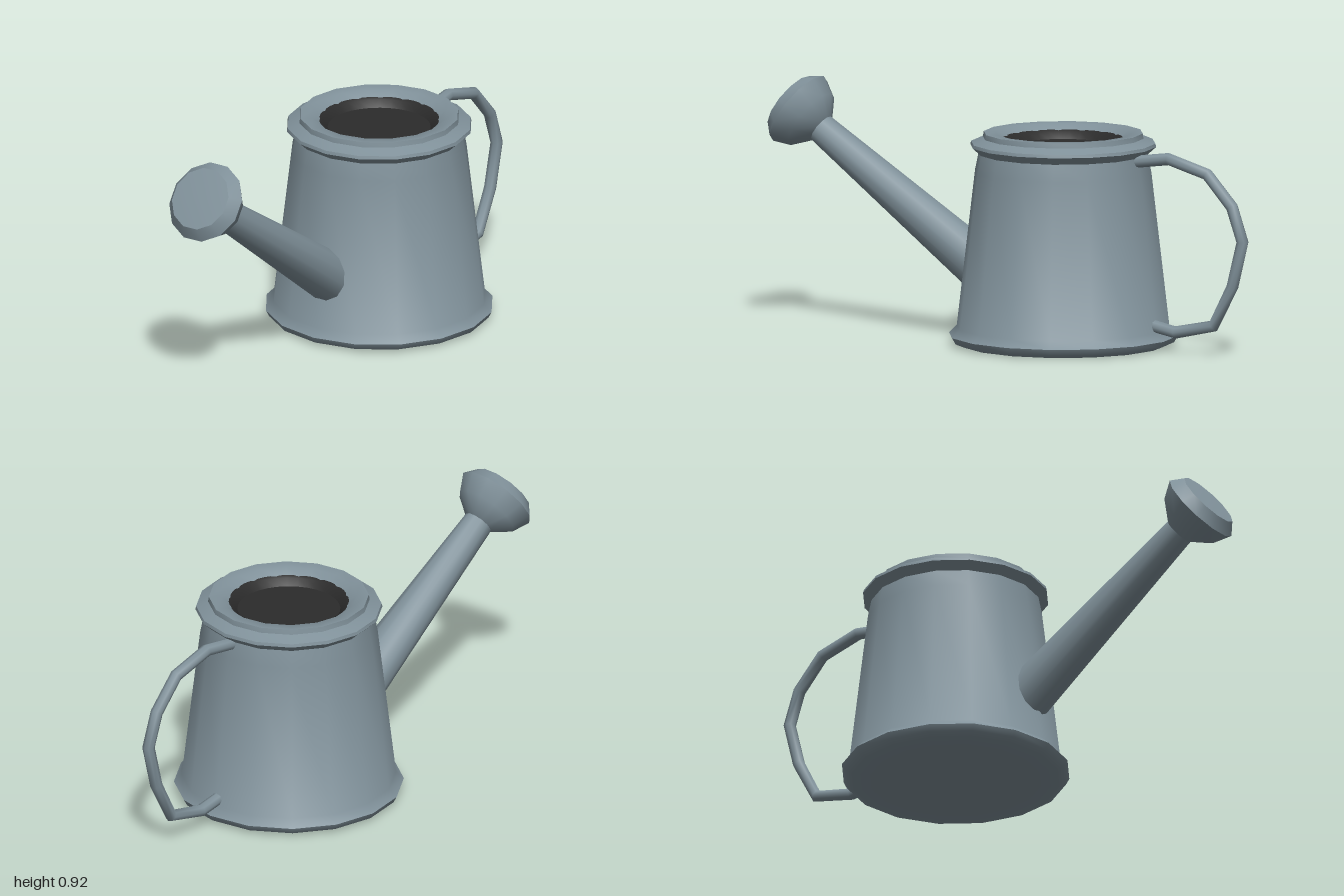
import * as THREE from 'three';
import { toCreasedNormals } from 'three/addons/utils/BufferGeometryUtils.js';

const steel = new THREE.MeshStandardMaterial({ color: 0x80919a });
steel.name = 'greySteel';
const dark = new THREE.MeshStandardMaterial({ color: 0x2b2b2b });
dark.name = 'darkInterior';

// Lathe from [radius, height] pairs, smooth around and sharp at hard rims
function turned(name, profile, sides, material, phiStart = 0) {
  const points = profile.map(([r, y]) => new THREE.Vector2(r, y));
  const geometry = new THREE.LatheGeometry(points, sides, phiStart);
  const mesh = new THREE.Mesh(toCreasedNormals(geometry, 0.85), material);
  mesh.name = name;
  return mesh;
}

// Straight-segment path whose samples land exactly on its corners
class BentPath extends THREE.Curve {
  constructor(points) {
    super();
    this.points = points;
  }
  getPoint(t, target = new THREE.Vector3()) {
    const last = this.points.length - 1;
    const i = Math.min(Math.floor(t * last + 1e-9), last - 1);
    return target.lerpVectors(this.points[i], this.points[i + 1], t * last - i);
  }
  getPointAt(u, target) { return this.getPoint(u, target); }
  getTangentAt(u, target) { return this.getTangent(u, target); }
}

export function createModel() {
  const model = new THREE.Group();
  model.name = 'wateringCan';

  // Tapered can with a rolled foot and a stepped top rim
  const can = new THREE.Group();
  can.name = 'can';
  can.position.z = -0.22;
  can.add(turned('body', [
    [0, 0], [0.38, 0], [0.412, 0.013], [0.424, 0.036], [0.395, 0.065],
    [0.327, 0.645], [0.314, 0.71], [0.345, 0.738], [0.342, 0.75],
    [0.298, 0.768], [0.295, 0.787], [0.25, 0.785], [0.21, 0.755],
  ], 16, steel));
  can.add(turned('opening', [[0.222, 0.766], [0.21, 0.76], [0.19, 0.735], [0, 0.73]], 32, dark));
  model.add(can);

  // Spout and rose share one slanted axis, with its origin at the neck
  const spout = new THREE.Group();
  spout.name = 'spoutAssembly';
  spout.position.set(0, 0.73, 0.8);
  spout.rotation.x = Math.atan2(0.82, 0.57);
  const halfStep = Math.PI / 12;
  spout.add(turned('spout', [[0.094, -0.86], [0.056, 0.01]], 12, steel, halfStep));
  spout.add(turned('rose', [
    [0, -0.005], [0.055, 0], [0.122, 0.055], [0.153, 0.12], [0.119, 0.163], [0, 0.17],
  ], 12, steel, halfStep));
  model.add(spout);

  // Bent rod handle, given as [z, y]
  const path = [
    [-0.5, 0.695], [-0.665, 0.718], [-0.828, 0.672], [-0.933, 0.557], [-0.977, 0.43],
    [-0.935, 0.262], [-0.855, 0.11], [-0.695, 0.075], [-0.58, 0.097],
  ].map(([z, y]) => new THREE.Vector3(0, y, z));
  const handle = new THREE.Mesh(
    new THREE.TubeGeometry(new BentPath(path), path.length - 1, 0.023, 8), steel);
  handle.name = 'handle';
  model.add(handle);

  return model;
}
